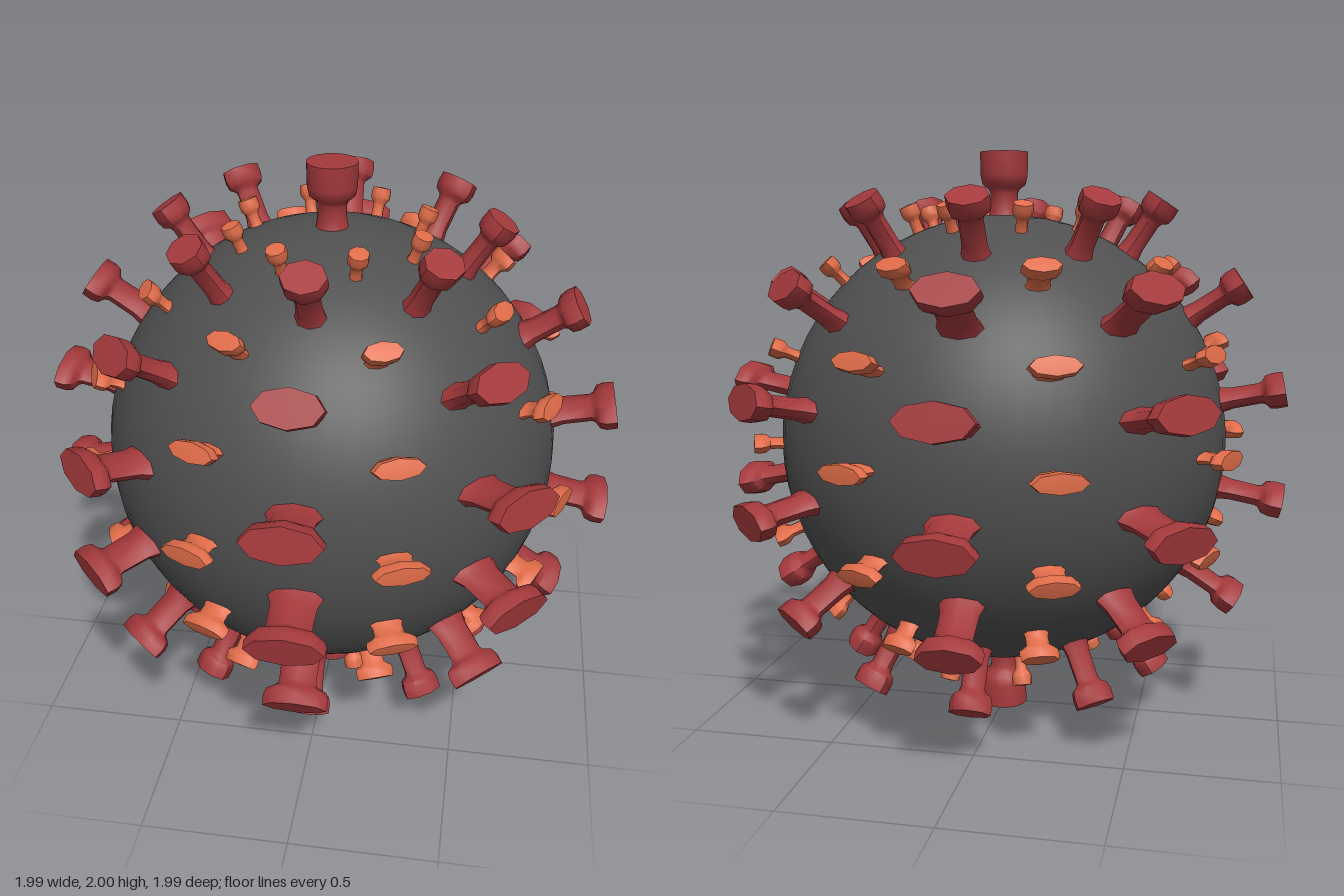
import * as THREE from 'three';
import { toCreasedNormals } from 'three/addons/utils/BufferGeometryUtils.js';

const RAD = Math.PI / 180;

// Spike profiles as [relative width, distance from the body centre]
const LARGE = [[0.95, 0.74], [0.72, 0.775], [0.59, 0.82], [0.57, 0.915], [0.64, 0.928], [0.92, 0.942], [1, 0.965], [0.98, 1], [0, 1]];
const SMALL = [[0.95, 0.74], [0.68, 0.775], [0.57, 0.8], [0.59, 0.828], [0.96, 0.845], [1, 0.86], [0.95, 0.882], [0, 0.885]];
const POLAR = [[0.9, 0.74], [0.66, 0.775], [0.57, 0.82], [0.57, 0.86], [0.66, 0.875], [0.9, 0.89], [0.98, 0.92], [1, 1], [0, 1]];

// Turned spike along +y, stretched to an oval section
function spikeGeometry(profile, sides, halfWidth, halfHeight) {
  const points = profile.map(([w, r]) => new THREE.Vector2(w, r));
  const geometry = new THREE.LatheGeometry(points, sides);
  geometry.scale(halfWidth, 1, halfHeight);
  return toCreasedNormals(geometry, 50 * RAD);
}

// Eight spikes around one latitude
function addRing(parent, name, material, profile, latitude, offset, halfWidth, halfHeight) {
  const geometry = spikeGeometry(profile, 8, halfWidth * Math.cos(latitude * RAD), halfHeight);
  for (let i = 0; i < 8; i++) {
    const spike = new THREE.Mesh(geometry, material);
    spike.name = name;
    spike.rotation.order = 'YXZ';
    spike.rotation.set((90 - latitude) * RAD, (offset + i * 45) * RAD, 0);
    parent.add(spike);
  }
}

export function createModel() {
  const grey = new THREE.MeshStandardMaterial({ color: 0x505050 });
  grey.name = 'dark grey';
  const red = new THREE.MeshStandardMaterial({ color: 0xa4393c });
  red.name = 'deep red';
  const orange = new THREE.MeshStandardMaterial({ color: 0xe06c49 });
  orange.name = 'orange';

  const model = new THREE.Group();
  model.name = 'virus';
  const particle = new THREE.Group();
  particle.name = 'particle';
  particle.position.y = 1;
  model.add(particle);

  const body = new THREE.Mesh(new THREE.SphereGeometry(0.787, 48, 32), grey);
  body.name = 'body';
  particle.add(body);

  // Large and small spikes on alternating latitudes and longitudes
  for (const latitude of [-56.25, -33.75, -11.25, 11.25, 33.75, 56.25]) {
    addRing(particle, 'largeSpike', red, LARGE, latitude, 0, 0.13, 0.062);
  }
  for (const latitude of [-67.5, -45, -22.5, 0, 22.5, 45, 67.5]) {
    addRing(particle, 'smallSpike', orange, SMALL, latitude, 22.5, 0.092, 0.034);
  }

  // Round spikes at the poles
  const polar = spikeGeometry(POLAR, 16, 0.085, 0.085);
  for (const [name, turn] of [['topSpike', 0], ['bottomSpike', Math.PI]]) {
    const spike = new THREE.Mesh(polar, red);
    spike.name = name;
    spike.rotation.x = turn;
    particle.add(spike);
  }
  return model;
}
